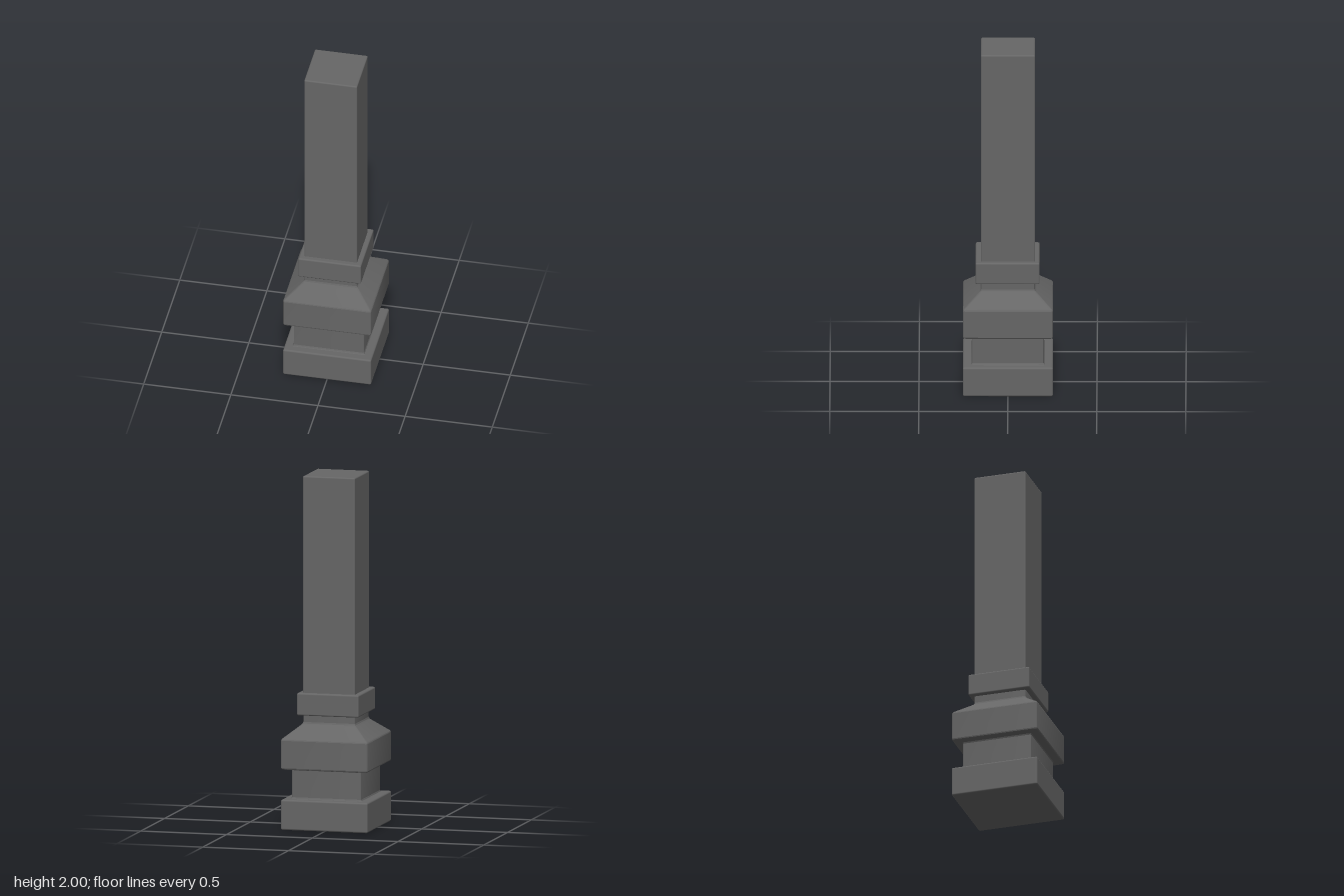
import * as THREE from 'three';
import { toCreasedNormals } from 'three/addons/utils/BufferGeometryUtils.js';
import { RoundedBoxGeometry } from 'three/addons/geometries/RoundedBoxGeometry.js';

// Square rings with rounded corners, stacked along a [halfWidth, y] profile and capped
function squareLoft(profile, radius) {
  const steps = 3, n = 4 * (steps + 1);
  const pos = [], idx = [];
  for (const [half, y] of profile) {
    for (let c = 0; c < 4; c++) {
      const mid = Math.PI / 4 + c * Math.PI / 2;
      const cx = Math.sign(Math.cos(mid)) * (half - radius);
      const cz = Math.sign(Math.sin(mid)) * (half - radius);
      for (let s = 0; s <= steps; s++) {
        const a = (c + s / steps) * Math.PI / 2;
        pos.push(cx + radius * Math.cos(a), y, cz + radius * Math.sin(a));
      }
    }
  }
  const last = profile.length - 1;
  for (let r = 0; r < last; r++) {
    for (let i = 0; i < n; i++) {
      const j = (i + 1) % n, a = r * n + i, b = r * n + j;
      idx.push(a, a + n, b, b, a + n, b + n);
    }
  }
  for (let i = 1; i < n - 1; i++) {
    idx.push(0, i, i + 1);
    idx.push(last * n, last * n + i + 1, last * n + i);
  }
  const g = new THREE.BufferGeometry();
  g.setAttribute('position', new THREE.Float32BufferAttribute(pos, 3));
  g.setIndex(idx);
  return toCreasedNormals(g, 0.3);
}

export function createModel() {
  const group = new THREE.Group();
  const stone = new THREE.MeshStandardMaterial({ color: 0x666666 });
  stone.name = 'dark grey';

  const add = (name, geometry) => {
    const mesh = new THREE.Mesh(geometry, stone);
    mesh.name = name;
    group.add(mesh);
    return mesh;
  };
  // Square block with softened edges between two heights
  const block = (name, half, y0, y1, r) => {
    const mesh = add(name, new RoundedBoxGeometry(half * 2, y1 - y0, half * 2, 3, r));
    mesh.position.y = (y0 + y1) / 2;
    return mesh;
  };

  block('plinth', 0.253, 0, 0.172, 0.01);

  // Recessed neck, flaring slightly where it meets the blocks
  add('lowerNeck', squareLoft([
    [0.212, 0.16], [0.212, 0.17], [0.205, 0.174], [0.202, 0.182],
    [0.202, 0.335], [0.205, 0.342], [0.212, 0.346], [0.212, 0.355],
  ], 0.008));

  // Wide block with sloping shoulders that narrow to the upper neck
  add('shoulderBlock', squareLoft([
    [0.246, 0.343], [0.251, 0.346], [0.253, 0.352],
    [0.253, 0.507], [0.251, 0.513], [0.246, 0.519],
    [0.161, 0.588], [0.155, 0.595], [0.152, 0.604], [0.152, 0.66],
  ], 0.012));

  block('collar', 0.18, 0.643, 0.77, 0.009).position.z = 0.002;
  block('shaft', 0.152, 0.65, 2, 0.008);

  return group;
}
